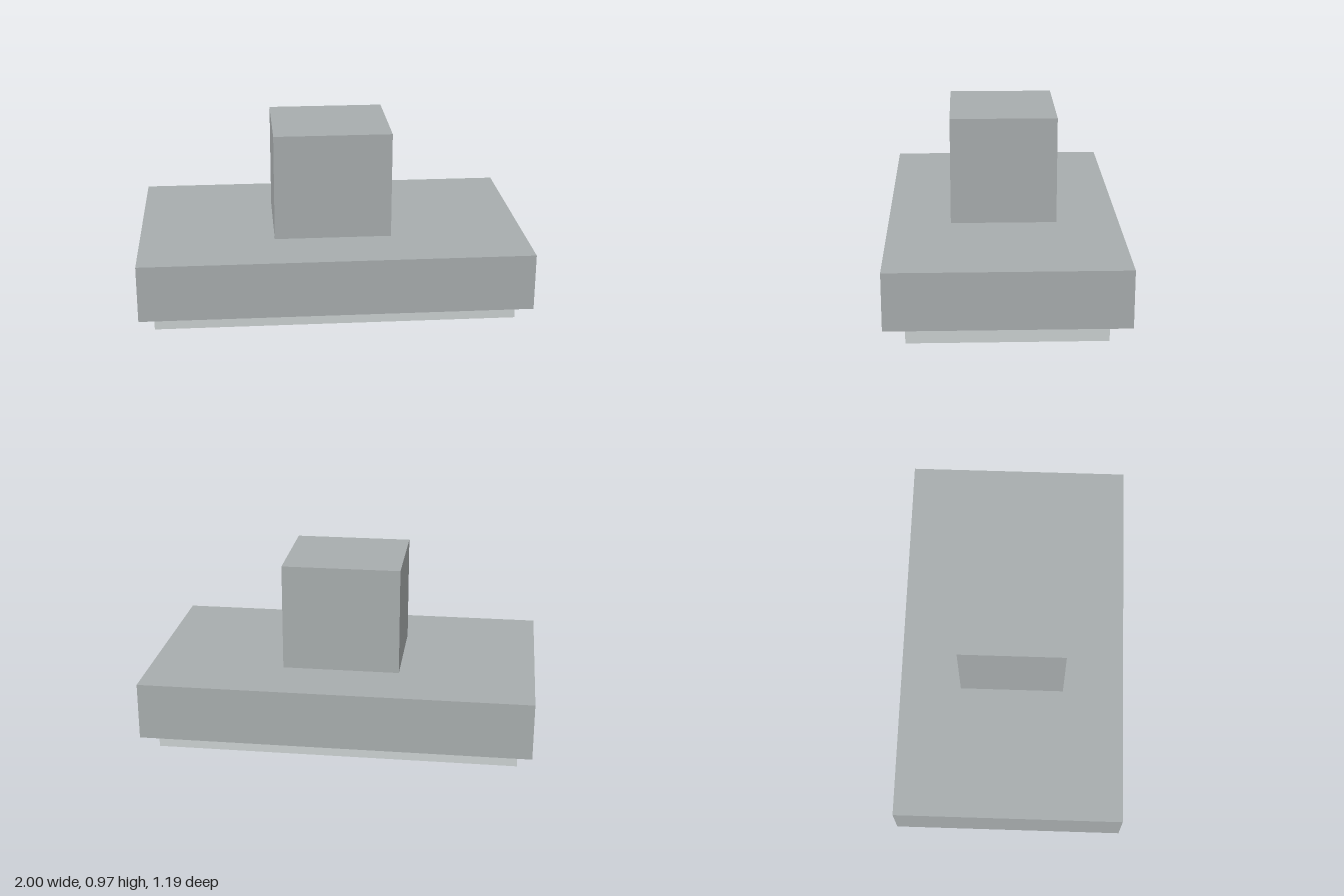
import * as THREE from 'three';

export function createModel() {
  const model = new THREE.Group();
  const steel = new THREE.MeshStandardMaterial({ color: 0xa8adae });
  const lightSteel = new THREE.MeshStandardMaterial({ color: 0xcbd1d1 });

  // Box standing between two heights
  const addBox = (name, width, depth, bottom, top, material, x = 0, parent = model) => {
    const mesh = new THREE.Mesh(new THREE.BoxGeometry(width, top - bottom, depth), material);
    mesh.name = name;
    mesh.position.set(x, (bottom + top) / 2, 0);
    parent.add(mesh);
  };

  // Hood body, duct and recessed filter panel
  addBox('hoodBody', 2, 1.19, 0.119, 0.413, steel);
  addBox('chimney', 0.606, 0.546, 0.413, 0.967, steel);
  addBox('filterPanel', 1.856, 0.98, 0.024, 0.119, lightSteel);

  // Evenly spaced slats under the filter, set slightly to one side
  const slats = new THREE.Group();
  slats.name = 'filterSlats';
  model.add(slats);
  for (let i = 0; i < 8; i++) {
    addBox('slat', 0.048, 0.82, 0, 0.024, steel, -0.76 + i * 0.221, slats);
  }

  return model;
}
